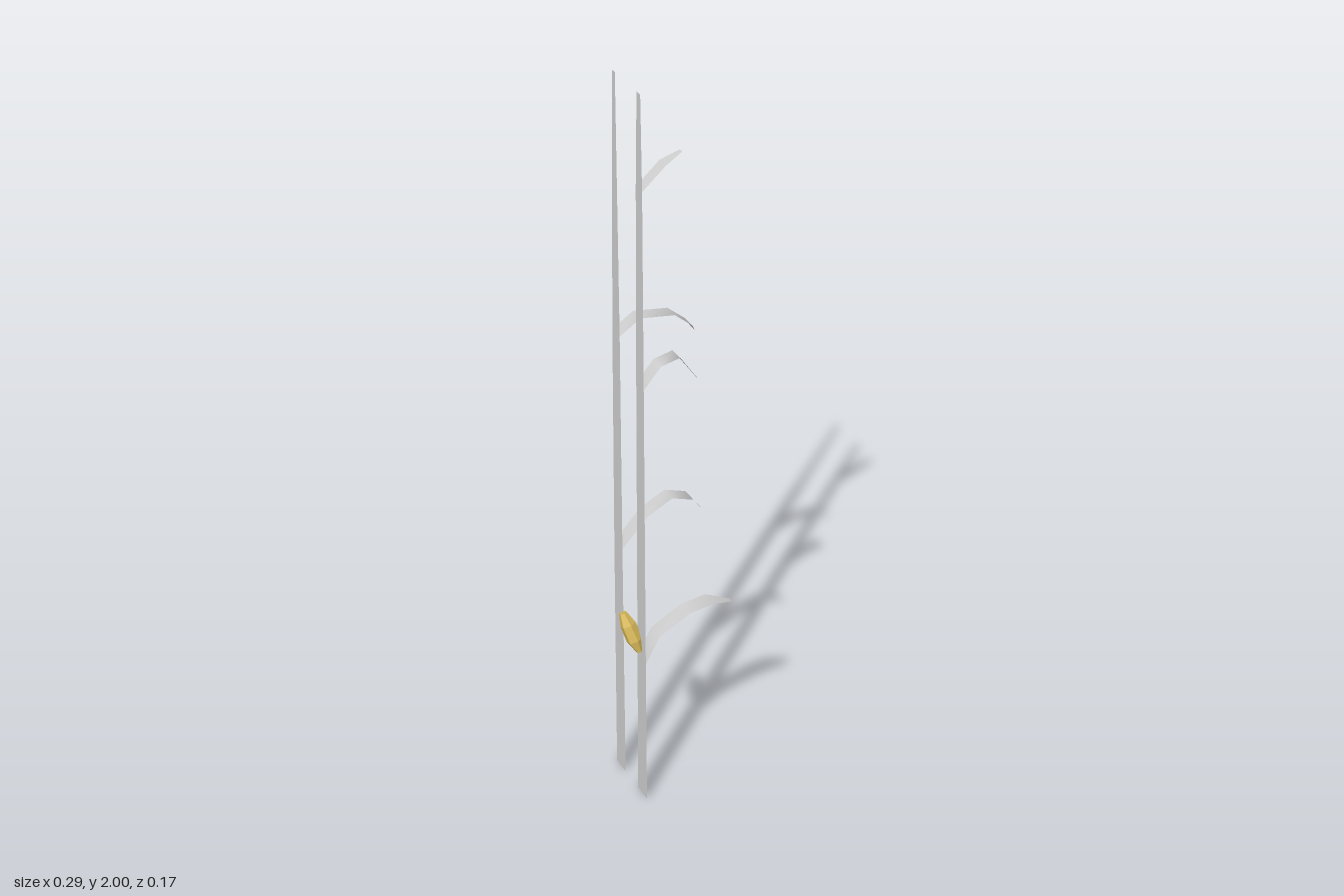
import * as THREE from 'three';

const STALK_X = -0.105;
const grey = new THREE.MeshStandardMaterial({ color: 0xcccccc, side: THREE.DoubleSide });
const gold = new THREE.MeshStandardMaterial({ color: 0xd8b95a, flatShading: true });

// Thin strip through cross-sections [x, y, zNear, zFar]
function ribbon(name, sections) {
  const positions = [], index = [];
  sections.forEach(([x, y, z0, z1], i) => {
    positions.push(x, y, z0, x, y, z1);
    if (i > 0) {
      const a = 2 * (i - 1);
      index.push(a, a + 1, a + 2, a + 1, a + 3, a + 2);
    }
  });
  const geometry = new THREE.BufferGeometry();
  geometry.setAttribute('position', new THREE.Float32BufferAttribute(positions, 3));
  geometry.setIndex(index);
  geometry.computeVertexNormals();
  const mesh = new THREE.Mesh(geometry, grey);
  mesh.name = name;
  return mesh;
}

// Arching leaf: constant width along the path, narrowing on the last span
function leaf(name, path, [z0, z1], [tip0, tip1]) {
  const last = path.length - 1;
  return ribbon(name, path.map(([x, y], i) =>
    i === last ? [x, y, tip0, tip1] : [x, y, z0, z1]));
}

// Six-sided ear of corn lofted between two points
function cob(bottom, top) {
  const axis = top.clone().sub(bottom);
  const length = axis.length();
  const profile = [[0, 0], [0.009, 0], [0.021, 0.3], [0.02, 0.7], [0.01, 1], [0, 1]]
    .map(([r, t]) => new THREE.Vector2(r, t * length));
  const mesh = new THREE.Mesh(new THREE.LatheGeometry(profile, 6), gold);
  mesh.position.copy(bottom);
  mesh.quaternion.setFromUnitVectors(new THREE.Vector3(0, 1, 0), axis.normalize());
  mesh.name = 'cob';
  return mesh;
}

export function createModel() {
  const model = new THREE.Group();
  model.name = 'cornStalks';

  // Front plant
  const front = new THREE.Group();
  front.name = 'frontPlant';
  front.add(
    ribbon('frontStalk', [
      [STALK_X, 0, 0.037, 0.085], [STALK_X, 0.44, 0.039, 0.083],
      [STALK_X, 1.25, 0.044, 0.081], [STALK_X, 1.76, 0.049, 0.079],
      [STALK_X, 2, 0.056, 0.073],
    ]),
    leaf('frontLowerLeaf', [[STALK_X, 0.437], [-0.066, 0.51], [0.018, 0.552],
      [0.085, 0.557], [0.145, 0.532]], [0.038, 0.082], [0.053, 0.067]),
    leaf('frontMiddleLeaf', [[STALK_X, 1.245], [-0.06, 1.297], [-0.01, 1.306],
      [0.048, 1.218]], [0.043, 0.08], [0.056, 0.068]),
    leaf('frontUpperLeaf', [[STALK_X, 1.764], [-0.045, 1.815], [0, 1.833]],
      [0.048, 0.078], [0.057, 0.068]),
    cob(new THREE.Vector3(-0.108, 0.465, 0.058), new THREE.Vector3(-0.133, 0.565, 0.017)),
  );

  // Back plant
  const back = new THREE.Group();
  back.name = 'backPlant';
  back.add(
    ribbon('backStalk', [
      [STALK_X, 0, -0.081, -0.033], [STALK_X, 0.71, -0.079, -0.036],
      [STALK_X, 1.32, -0.074, -0.037], [STALK_X, 2, -0.059, -0.045],
    ]),
    leaf('backLowerLeaf', [[STALK_X, 0.71], [-0.034, 0.785], [0.034, 0.817],
      [0.092, 0.793], [0.136, 0.728]], [-0.08, -0.039], [-0.068, -0.052]),
    leaf('backUpperLeaf', [[STALK_X, 1.324], [-0.05, 1.358], [0.04, 1.34],
      [0.087, 1.297], [0.098, 1.276]], [-0.076, -0.039], [-0.068, -0.048]),
  );

  model.add(front, back);
  return model;
}
